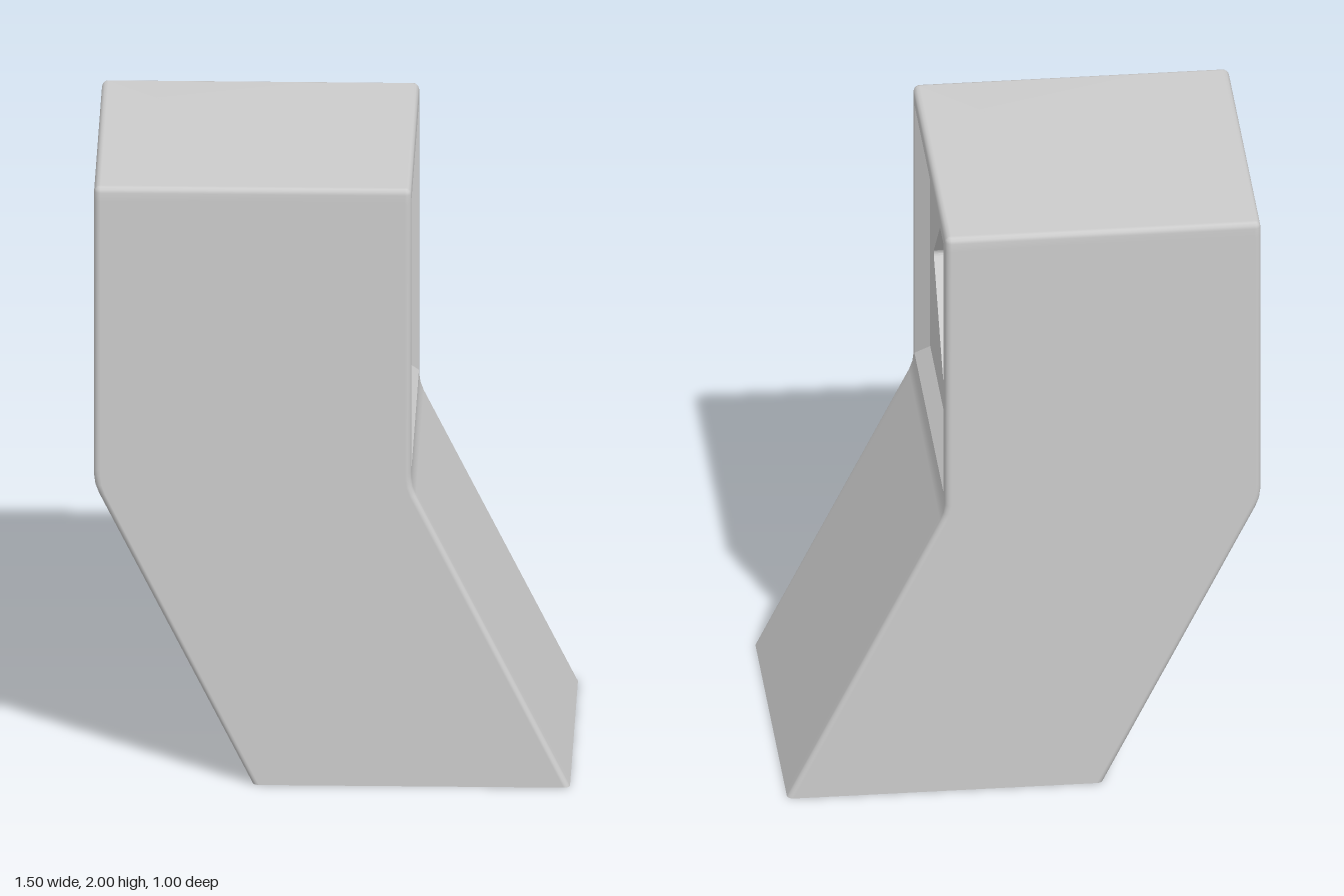
import * as THREE from 'three';

const BEVEL = 0.02, OPEN = 0.45, PANEL = 0.4, DEPTH = 0.045, THICK = 0.08;

// Rounded square seen from above, starting and ending on the +x side beside the opening
function ringPoints(y, cx, inset) {
  const half = 0.5 - inset, r = Math.max(0.002, BEVEL - inset), steps = 4;
  const pts = [[cx + half, y, -OPEN]];
  for (const [sx, sz, start] of [[1, -1, 0], [-1, -1, 1], [-1, 1, 2], [1, 1, 3]]) {
    for (let i = 0; i <= steps; i++) {
      const a = (start + i / steps) * Math.PI / 2;
      pts.push([
        cx + sx * (half - r) + r * Math.cos(a), y,
        sz * (half - r) - r * Math.sin(a),
      ]);
    }
  }
  pts.push([cx + half, y, OPEN]);
  return pts;
}

// Hollow bent block: stacked rings with a square window left open on the +x side
function bodyGeometry() {
  // height, centre x, inset
  const levels = [
    [0, 0.25, 0], [0.97, -0.235, 0], [1, -0.246, 0], [1.03, -0.25, 0],
    [1.5 - OPEN, -0.25, 0], [1.5 + OPEN, -0.25, 0], [1.98, -0.25, 0],
    [1.99, -0.25, 0.0027], [1.9973, -0.25, 0.01], [2, -0.25, BEVEL],
  ];
  const pos = [], index = [];
  let n = 0;
  levels.forEach(([y, cx, inset], k) => {
    const pts = ringPoints(y, cx, inset);
    n = pts.length;
    pos.push(...pts.flat());
    if (k === 0) return;
    for (let i = 0; i < n; i++) {
      if (k === 5 && i === n - 1) continue; // window
      const j = (i + 1) % n, a = (k - 1) * n, b = k * n;
      index.push(a + i, a + j, b + j, a + i, b + j, b + i);
    }
  });
  // Top cap shares the last ring so the bevel blends into it
  const top = (levels.length - 1) * n, topCentre = pos.length / 3;
  pos.push(-0.25, 2, 0);
  for (let i = 0; i < n; i++) index.push(topCentre, top + i, top + (i + 1) % n);
  // Bottom cap has its own ring for a sharp edge
  const bottom = pos.length / 3;
  pos.push(...ringPoints(0, 0.25, 0).flat(), 0.25, 0, 0);
  for (let i = 0; i < n; i++) index.push(bottom + n, bottom + (i + 1) % n, bottom + i);

  const g = new THREE.BufferGeometry();
  g.setAttribute('position', new THREE.Float32BufferAttribute(pos, 3));
  g.setIndex(index);
  g.computeVertexNormals();
  return g;
}

// Closed outline with softly rounded corners
function roundedPath(corners, r) {
  const path = new THREE.Path(), n = corners.length;
  const v = corners.map(([x, y]) => new THREE.Vector2(x, y));
  v.forEach((p, i) => {
    const toward = (q) => q.clone().sub(p).setLength(r).add(p);
    const a = toward(v[(i + n - 1) % n]), b = toward(v[(i + 1) % n]);
    if (i === 0) path.moveTo(a.x, a.y);
    else path.lineTo(a.x, a.y);
    path.quadraticCurveTo(p.x, p.y, b.x, b.y);
  });
  path.closePath();
  return path;
}

// Square plate with a chevron-shaped cut-out
function panelGeometry() {
  const s = PANEL;
  const shape = new THREE.Shape([[-s, -s], [s, -s], [s, s], [-s, s]].map(([x, y]) => new THREE.Vector2(x, y)));
  shape.holes.push(roundedPath([
    [-0.3, 0], [0, 0.3], [0.295, 0.3], [0, 0], [0.295, -0.3], [0, -0.3],
  ], 0.022));
  const g = new THREE.ExtrudeGeometry(shape, { depth: THICK, bevelEnabled: false, curveSegments: 5 });
  return g.rotateY(Math.PI / 2).translate(0.25 - DEPTH - THICK, 1.5, 0);
}

// Four sloping sides leading from the window down to the plate
function frameGeometry() {
  const d = Math.SQRT2;
  const g = new THREE.CylinderGeometry(OPEN * d, PANEL * d, DEPTH, 4, 1, true, Math.PI / 4);
  return g.rotateZ(-Math.PI / 2).translate(0.25 - DEPTH / 2, 1.5, 0);
}

export function createModel() {
  const model = new THREE.Group();
  model.name = 'bentBlock';
  const smooth = new THREE.MeshStandardMaterial({ color: 0xcccccc, side: THREE.DoubleSide });
  const flat = new THREE.MeshStandardMaterial({ color: 0xcccccc, side: THREE.DoubleSide, flatShading: true });
  const add = (name, geometry, material) => {
    const mesh = new THREE.Mesh(geometry, material);
    mesh.name = name;
    model.add(mesh);
  };
  add('body', bodyGeometry(), smooth);
  add('recessFrame', frameGeometry(), flat);
  add('chevronPanel', panelGeometry(), flat);
  return model;
}
